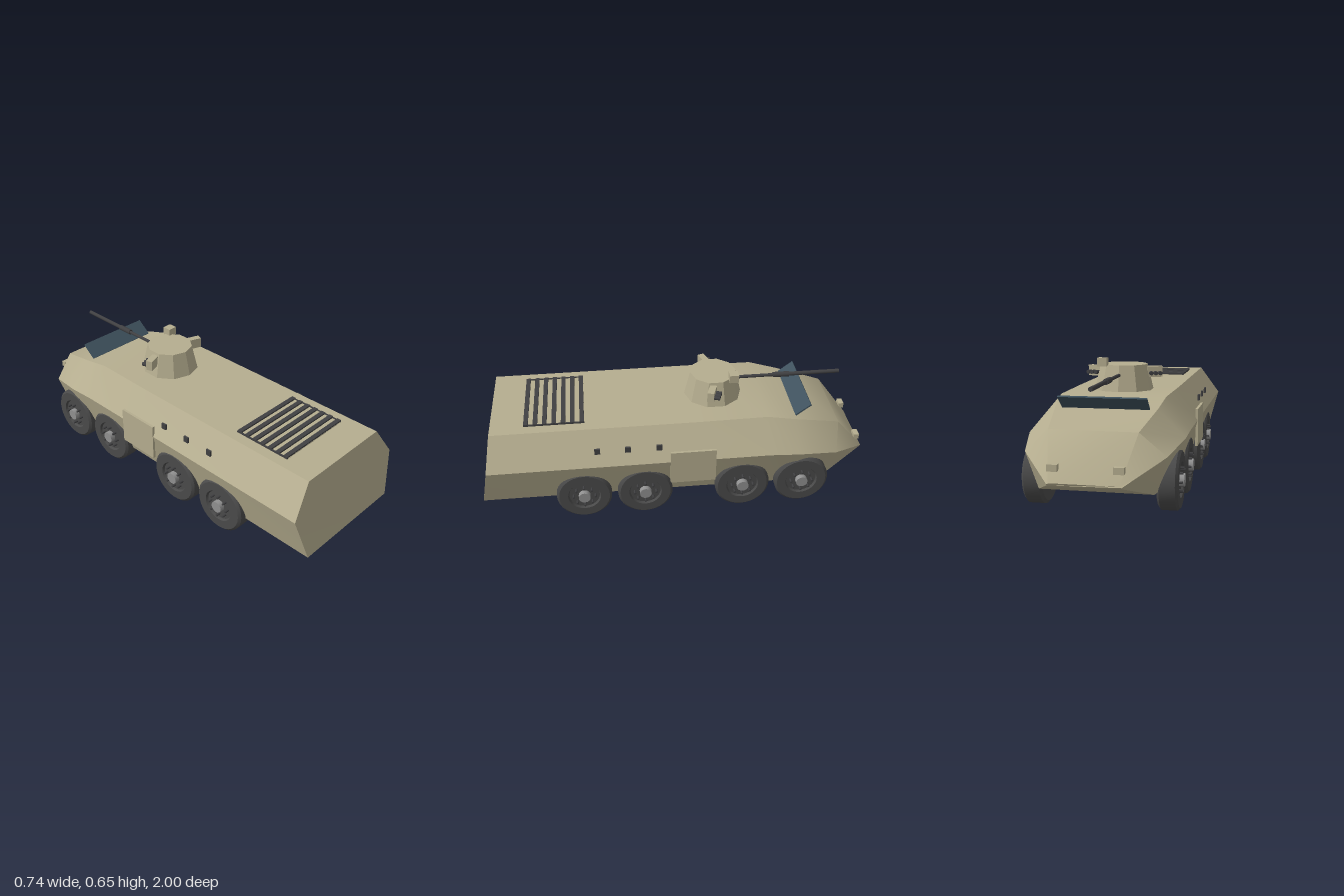
import * as THREE from 'three';
import { toCreasedNormals } from 'three/addons/utils/BufferGeometryUtils.js';

const paint = (color) => new THREE.MeshStandardMaterial({ color, side: THREE.DoubleSide });
const TAN = paint(0xb5ad8f), DARK = paint(0x404042), RUBBER = paint(0x4a4a4a);
const STEEL = paint(0x909090), GLASS = paint(0x3f525e);

function add(parent, name, geometry, material, x = 0, y = 0, z = 0) {
  const mesh = new THREE.Mesh(geometry, material);
  mesh.name = name;
  mesh.position.set(x, y, z);
  parent.add(mesh);
  return mesh;
}
const box = (w, h, d) => new THREE.BoxGeometry(w, h, d);

// Hull lofted through six-sided sections, from the flat end (+z) to the nose (-z)
function hullGeometry() {
  // each section: [bottom, middle, top] corners on the +x side
  const sections = [
    [[0.31, 0.12, 1.0], [0.37, 0.335, 0.955], [0.26, 0.49, 0.93]],
    [[0.31, 0.115, -0.1], [0.37, 0.335, -0.1], [0.26, 0.49, -0.1]],
    [[0.31, 0.11, -0.45], [0.37, 0.335, -0.45], [0.255, 0.49, -0.45]],
    [[0.3, 0.11, -0.6], [0.368, 0.325, -0.6], [0.24, 0.452, -0.6]],
    [[0.26, 0.11, -0.8], [0.318, 0.28, -0.81], [0.2, 0.388, -0.84]],
    [[0.16, 0.18, -0.995], [0.16, 0.186, -1.0], [0.15, 0.19, -0.997]],
  ];
  const points = [], index = [];
  for (const s of sections) {
    const mirrored = [...s].reverse().map(([x, y, z]) => [-x, y, z]);
    points.push(...s.flat(), ...mirrored.flat());
  }
  for (let i = 0; i < sections.length - 1; i++) {
    for (let j = 0; j < 6; j++) {
      const a = i * 6 + j, b = i * 6 + ((j + 1) % 6), c = b + 6, d = a + 6;
      index.push(a, d, b, b, d, c);
    }
  }
  const last = (sections.length - 1) * 6;
  for (let j = 1; j < 5; j++) {
    index.push(0, j, j + 1, last, last + j + 1, last + j);
  }
  const g = new THREE.BufferGeometry();
  g.setAttribute('position', new THREE.Float32BufferAttribute(points, 3));
  g.setIndex(index);
  return toCreasedNormals(g, 0.7);
}

// Wheel with its axis along x, outer face towards +x
function makeWheel() {
  const wheel = new THREE.Group();
  wheel.name = 'wheel';
  const profile = [
    [0, -0.048], [0.125, -0.048], [0.14, -0.036], [0.14, 0.036],
    [0.128, 0.047], [0.083, 0.047], [0.077, 0.036], [0, 0.036],
  ].map(([r, h]) => new THREE.Vector2(r, h));
  const tyre = toCreasedNormals(new THREE.LatheGeometry(profile, 32), 0.6);
  add(wheel, 'tyre', tyre.rotateZ(-Math.PI / 2), RUBBER);
  add(wheel, 'hub', new THREE.CylinderGeometry(0.03, 0.03, 0.03, 16).rotateZ(Math.PI / 2), STEEL, 0.047);
  for (let i = 0; i < 8; i++) {
    const a = (i * Math.PI) / 4;
    add(wheel, 'wheelBolt', new THREE.CylinderGeometry(0.006, 0.006, 0.025, 6).rotateZ(Math.PI / 2),
      DARK, 0.046, Math.sin(a) * 0.055, Math.cos(a) * 0.055);
  }
  return wheel;
}

function makeTurret() {
  const turret = new THREE.Group();
  turret.name = 'turret';
  turret.position.z = -0.205;
  const shell = new THREE.CylinderGeometry(0.118, 0.15, 0.135, 10);
  add(turret, 'turretShell', toCreasedNormals(shell, 0.3), TAN, 0, 0.5495, 0);
  add(turret, 'sight', box(0.048, 0.042, 0.046), TAN, 0.089, 0.631, -0.093);

  // Gun: barrel, thicker jacket and muzzle
  const rod = (r, length) => new THREE.CylinderGeometry(r, r, length, 12).rotateX(Math.PI / 2);
  add(turret, 'gunBarrel', rod(0.0085, 0.57), DARK, 0, 0.57, -0.385);
  add(turret, 'gunJacket', rod(0.014, 0.085), DARK, 0, 0.57, -0.36);
  add(turret, 'gunMuzzle', rod(0.0105, 0.27), DARK, 0, 0.57, -0.535);

  // Launchers on both sides, splayed outwards
  for (const side of [-1, 1]) {
    const launcher = new THREE.Group();
    launcher.name = 'launcher';
    launcher.position.set(side * 0.15, 0.578, 0.025);
    launcher.rotation.y = -side * 0.35;
    add(launcher, 'launcherBox', box(0.075, 0.053, 0.034), TAN);
    for (const k of [-1, 0, 1]) {
      add(launcher, 'launcherTube', rod(0.01, 0.035), DARK, k * 0.022, -0.006, -0.028);
    }
    turret.add(launcher);
  }
  return turret;
}

export function createModel() {
  const model = new THREE.Group();
  model.name = 'armouredCarrier';
  add(model, 'hull', hullGeometry(), TAN);
  model.add(makeTurret());

  // Raised windscreen plate
  const plate = add(model, 'windscreen', box(0.41, 0.008, 0.096), GLASS, 0, 0.48, -0.645);
  plate.rotation.x = 0.67;

  // Engine grille: panel, dark frame and slats
  add(model, 'grillePanel', box(0.4, 0.008, 0.3), TAN, 0, 0.489, 0.615);
  for (let i = 0; i < 7; i++) {
    add(model, 'grilleSlat', box(0.41, 0.014, 0.022), DARK, 0, 0.494, 0.477 + i * 0.046);
  }
  for (const side of [-1, 1]) {
    add(model, 'grilleRail', box(0.007, 0.01, 0.3), DARK, side * 0.202, 0.492, 0.615);

    // Wheels
    for (const z of [0.49, 0.18, -0.32, -0.63]) {
      const wheel = makeWheel();
      wheel.position.set(side * 0.308, 0.14, z);
      if (side < 0) wheel.rotation.y = Math.PI;
      model.add(wheel);
    }

    // Side doors, viewing blocks and headlights
    add(model, 'sideDoor', box(0.013, 0.19, 0.228), TAN, side * 0.3655, 0.298, -0.062);
    for (const z of [0.41, 0.26, 0.105]) {
      add(model, 'viewingBlock', box(0.01, 0.03, 0.028), DARK, side * 0.341, 0.412, z);
    }
    add(model, 'headlight', box(0.046, 0.03, 0.028), TAN, side * 0.143, 0.25, -0.966);
  }
  return model;
}
